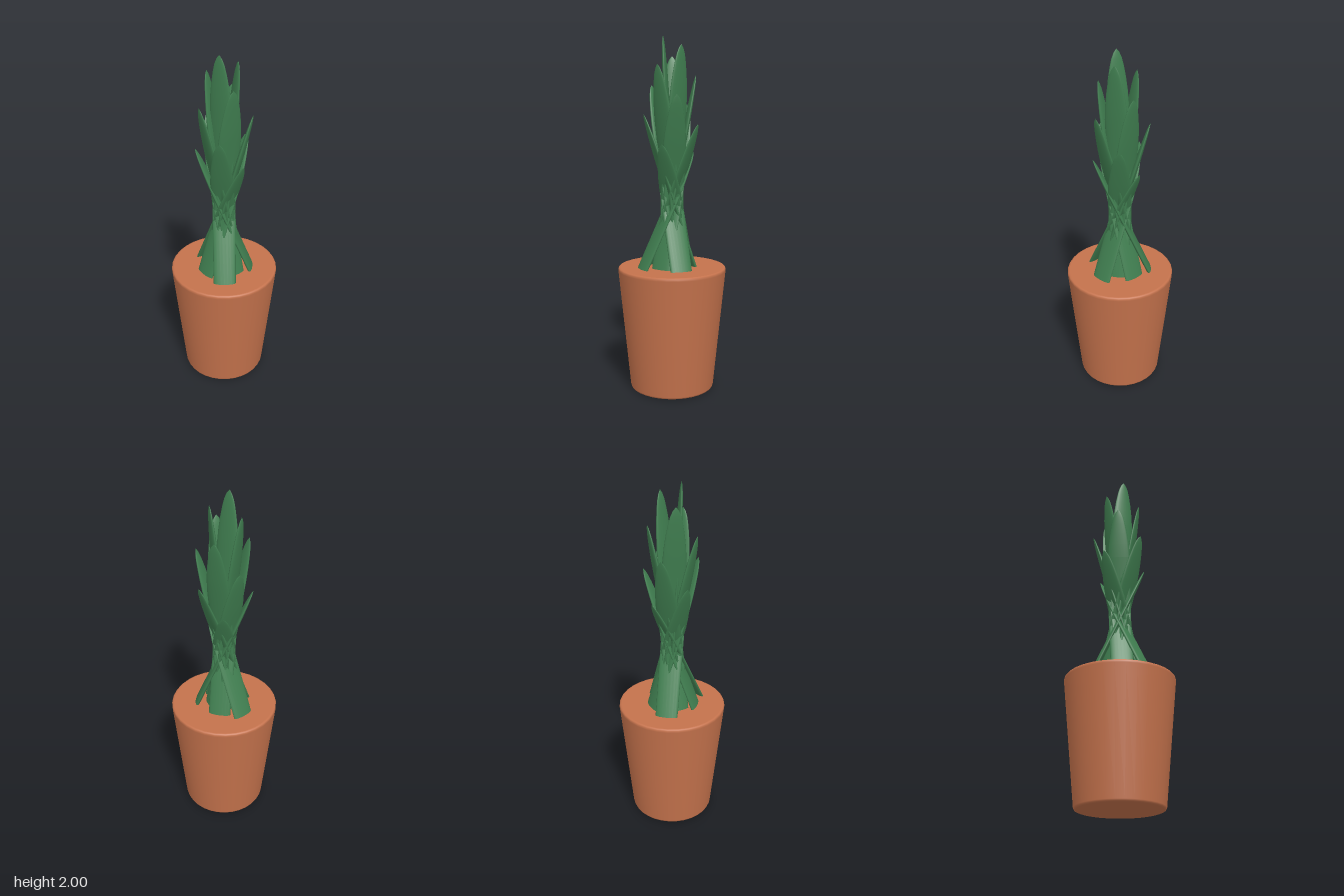
import * as THREE from 'three';

const LEAVES = 13;
const CROSSING = 1.08; // height where all leaves cross the stem axis
const GOLDEN_ANGLE = THREE.MathUtils.degToRad(137.5);

// Long flattened blade along y: wide below, tapering to a tip
function leafGeometry(below, above) {
  const taper = [[0.3, 0.065], [0.22, 0.059], [0.15, 0.05], [0.09, 0.039], [0.05, 0.029], [0.02, 0.016], [0, 0]];
  const points = [
    new THREE.Vector2(0, -below),
    new THREE.Vector2(0.063, -below),
    ...taper.map(([d, w]) => new THREE.Vector2(w, above - d)),
  ];
  const geometry = new THREE.LatheGeometry(points, 20);
  geometry.scale(1, 1, 0.24);
  return geometry;
}

export function createModel() {
  const model = new THREE.Group();
  const terracotta = new THREE.MeshStandardMaterial({ color: 0xc4724c });
  terracotta.name = 'terracotta';
  const leafGreen = new THREE.MeshStandardMaterial({ color: 0x407e50 });
  leafGreen.name = 'leaf green';

  // Tapered pot with small bevels, base and filled top
  const sections = {
    potBase: [[0, 0], [0.228, 0]],
    potWall: [[0.228, 0], [0.236, 0.003], [0.24, 0.012], [0.307, 0.69], [0.307, 0.7], [0.303, 0.706], [0.295, 0.708]],
    potTop: [[0.295, 0.708], [0, 0.708]],
  };
  for (const [name, profile] of Object.entries(sections)) {
    const points = profile.map(([r, y]) => new THREE.Vector2(r, y));
    const part = new THREE.Mesh(new THREE.LatheGeometry(points, 32), terracotta);
    part.name = name;
    model.add(part);
  }

  // Leaves in a golden-angle spiral, each shorter and leaning further out
  const plant = new THREE.Group();
  plant.name = 'plant';
  for (let i = 0; i < LEAVES; i++) {
    const tilt = THREE.MathUtils.degToRad(3.1 + 1.9 * i);
    const above = (2 - 0.0535 * i - CROSSING) / Math.cos(tilt);
    const below = (CROSSING - 0.64) / Math.cos(tilt);
    const leaf = new THREE.Mesh(leafGeometry(below, above), leafGreen);
    leaf.name = 'leaf';
    leaf.position.y = CROSSING;
    leaf.rotation.order = 'YXZ';
    leaf.rotation.set(tilt, i * GOLDEN_ANGLE, 0);
    plant.add(leaf);
  }
  model.add(plant);

  return model;
}
